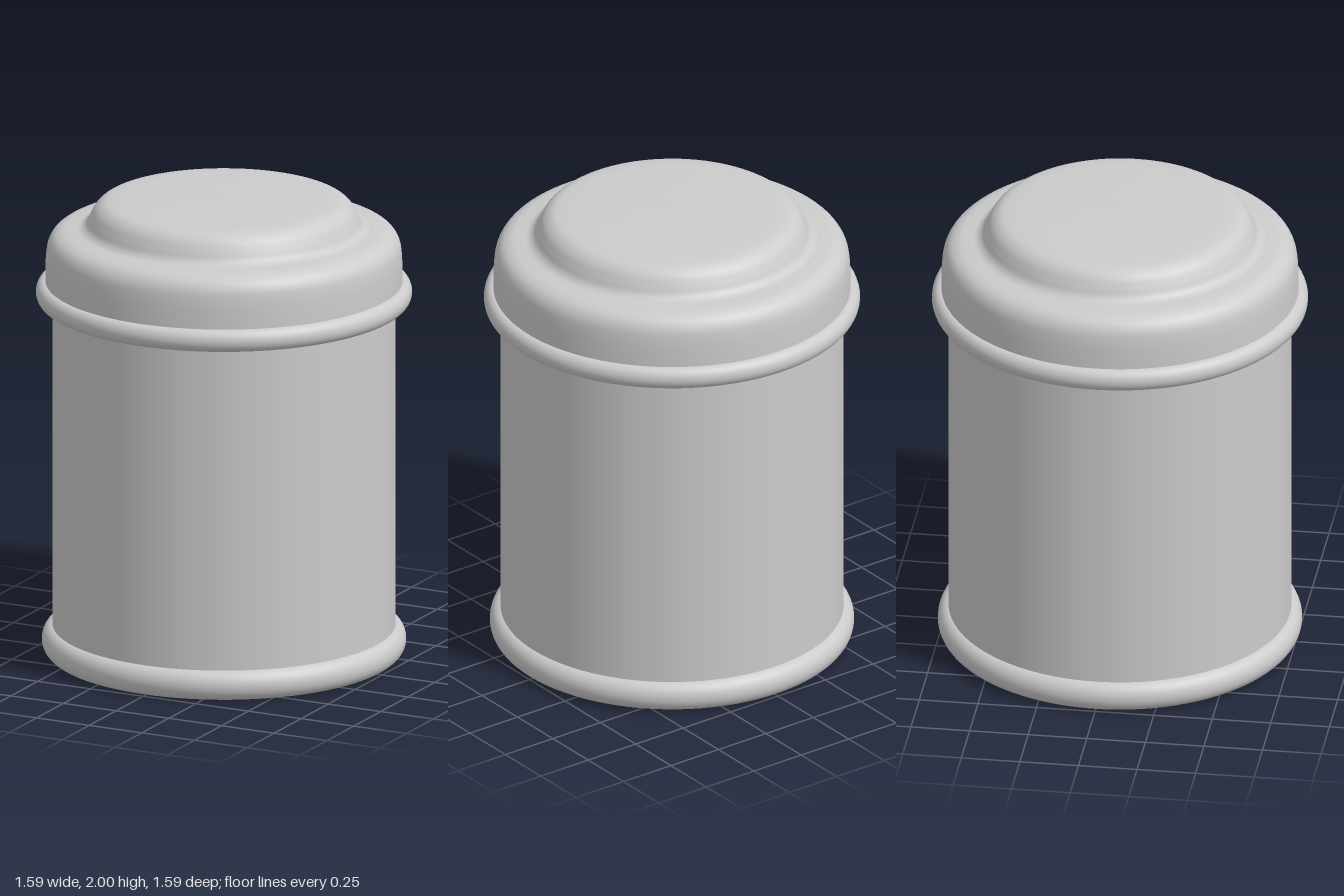
import * as THREE from 'three';

const material = new THREE.MeshStandardMaterial({ color: 0xcccccc, side: THREE.DoubleSide });
const SEGMENTS = 96;

// Turns [radius, height] points into a named lathe mesh; smooth ones are run through a spline.
function turned(name, points, smoothSteps = 0) {
  let profile = points.map(([r, y]) => new THREE.Vector2(r, y));
  if (smoothSteps) {
    const curve = new THREE.CatmullRomCurve3(
      points.map(([r, y]) => new THREE.Vector3(r, y, 0)), false, 'centripetal');
    profile = curve.getPoints(smoothSteps).map((p) => new THREE.Vector2(Math.max(p.x, 0), p.y));
  }
  const mesh = new THREE.Mesh(new THREE.LatheGeometry(profile, SEGMENTS), material);
  mesh.name = name;
  return mesh;
}

// Rolled bead: a rounded band from inner radius r0 to outer radius r1 between two heights.
function bead(name, r0, r1, y0, y1) {
  const c = (y1 - y0) * 0.42;
  const points = [[r0, y0]];
  for (let i = 0; i <= 16; i++) {
    const a = -Math.PI / 2 + (Math.PI * i) / 16;
    const mid = (y0 + y1) / 2;
    points.push([r1 - c + c * Math.cos(a), mid + ((y1 - y0) / 2) * Math.sin(a)]);
  }
  points.push([r0, y1]);
  return turned(name, points);
}

export function createModel() {
  const group = new THREE.Group();
  group.name = 'lidded tin';

  // Straight body wall, outside and inside
  group.add(turned('bodyWall', [[0.725, 0.1], [0.725, 1.58]]));
  group.add(turned('innerWall', [[0.705, 0.73], [0.705, 0.12]]));

  // Raised floor seen through the open underside
  group.add(turned('floor', [[0, 0.73], [0.705, 0.73]]));

  // Rolled base rim and its inner lip
  group.add(bead('baseRim', 0.72, 0.77, 0, 0.13));
  group.add(turned('baseLip', [[0.705, 0.12], [0.71, 0.05], [0.72, 0]], 8));

  // Lid: rolled edge, rounded shoulder and raised crown
  group.add(bead('lidRim', 0.715, 0.795, 1.54, 1.637));
  group.add(turned('lid', [
    [0.755, 1.6], [0.755, 1.66], [0.751, 1.76], [0.742, 1.805], [0.72, 1.838], [0.685, 1.857],
    [0.64, 1.864], [0.605, 1.869], [0.583, 1.885], [0.565, 1.92], [0.543, 1.957],
    [0.51, 1.982], [0.46, 1.992], [0.3, 1.997], [0, 2.0],
  ], 80));

  return group;
}
